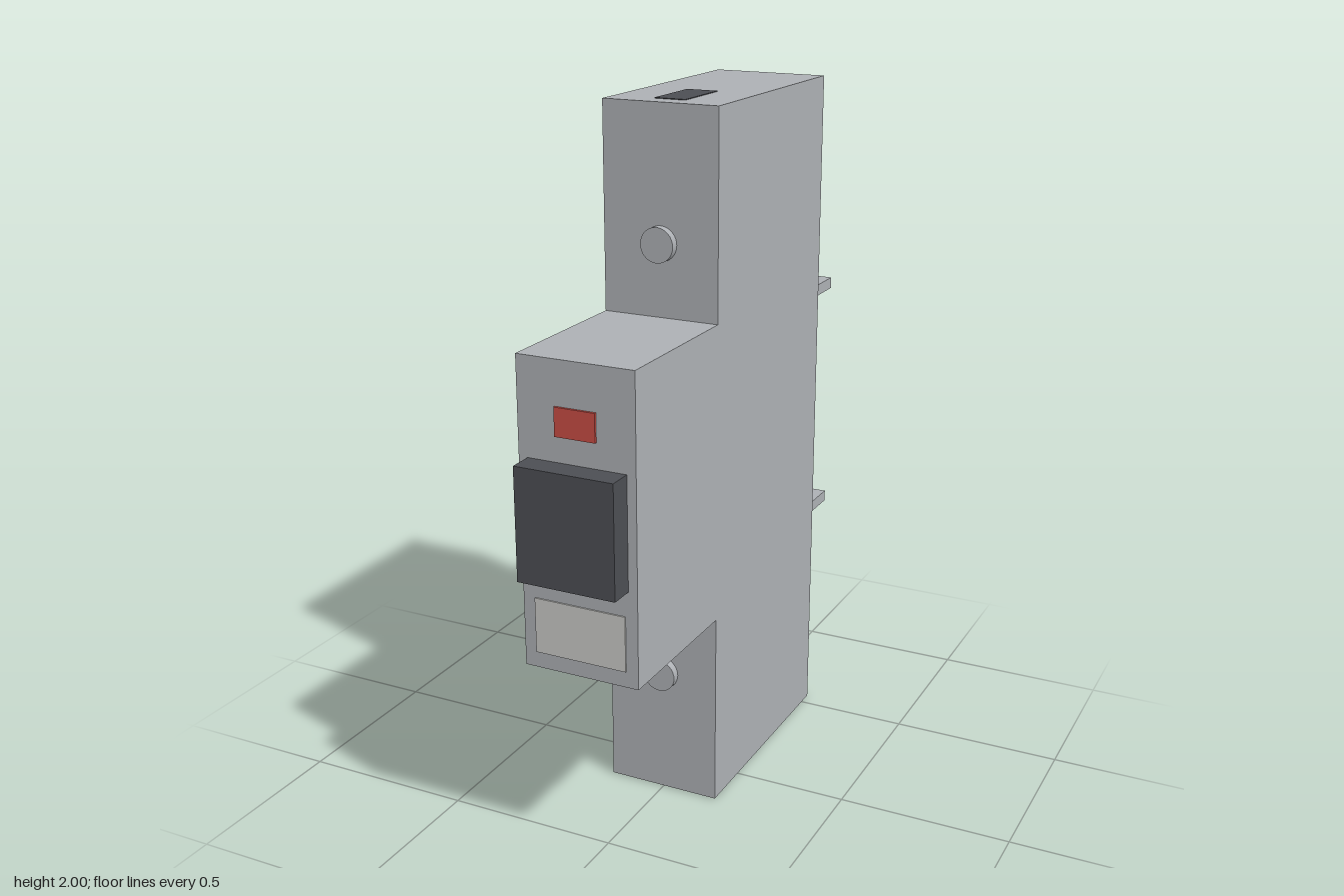
import * as THREE from 'three';

const material = (name, color) => {
  const m = new THREE.MeshStandardMaterial({ color });
  m.name = name;
  return m;
};

export function createModel() {
  const model = new THREE.Group();
  model.name = 'dinRailModule';
  const grey = material('housing grey', 0xadb0b4);
  const dark = material('dark grey', 0x4c4e53);
  const red = material('indicator red', 0xc84c44);
  const pale = material('label off-white', 0xc9c9c6);

  const add = (name, geometry, mat) => {
    const mesh = new THREE.Mesh(geometry, mat);
    mesh.name = name;
    model.add(mesh);
    return mesh;
  };
  // Box centred on x, given its width and its y and z ranges
  const box = (name, mat, width, y0, y1, z0, z1) => {
    const g = new THREE.BoxGeometry(width, y1 - y0, z1 - z0);
    return add(name, g.translate(0, (y0 + y1) / 2, (z0 + z1) / 2), mat);
  };

  // Stepped housing: side profile (z, y) extruded across the width
  const width = 0.336;
  const profile = new THREE.Shape([
    [-0.545, 0.002], [0.162, 0.002], [0.162, 0.575], [0.625, 0.575],
    [0.625, 1.43], [0.162, 1.43], [0.162, 1.998], [-0.545, 1.998],
  ].map(([z, y]) => new THREE.Vector2(z, y)));
  const housing = new THREE.ExtrudeGeometry(profile, { depth: width, bevelEnabled: false });
  housing.translate(0, 0, -width / 2).rotateY(-Math.PI / 2);
  add('housing', housing, grey);

  // Front controls
  box('rockerButton', dark, 0.284, 0.845, 1.16, 0.625, 0.695);
  box('indicatorWindow', red, 0.116, 1.23, 1.308, 0.624, 0.632);
  box('labelPlate', pale, 0.266, 0.62, 0.775, 0.624, 0.629);

  // Terminal screws on the two shoulders
  for (const [side, y] of [['upper', 1.63], ['lower', 0.375]]) {
    const screw = new THREE.CylinderGeometry(0.048, 0.048, 0.025, 32);
    add(side + 'Screw', screw.rotateX(Math.PI / 2).translate(0, y, 0.1735), grey);
  }

  // Wire entries on the top and bottom ends
  box('topWireEntry', dark, 0.09, 1.996, 2, -0.088, 0.105);
  box('bottomWireEntry', dark, 0.09, 0, 0.004, -0.088, 0.105);

  // Rail hooks and release clip at the back
  box('upperRailHook', grey, 0.3, 1.337, 1.37, -0.695, -0.545);
  box('lowerRailHook', grey, 0.3, 0.633, 0.666, -0.695, -0.545);
  box('railClip', grey, 0.12, 0.49, 0.633, -0.605, -0.545);

  return model;
}
